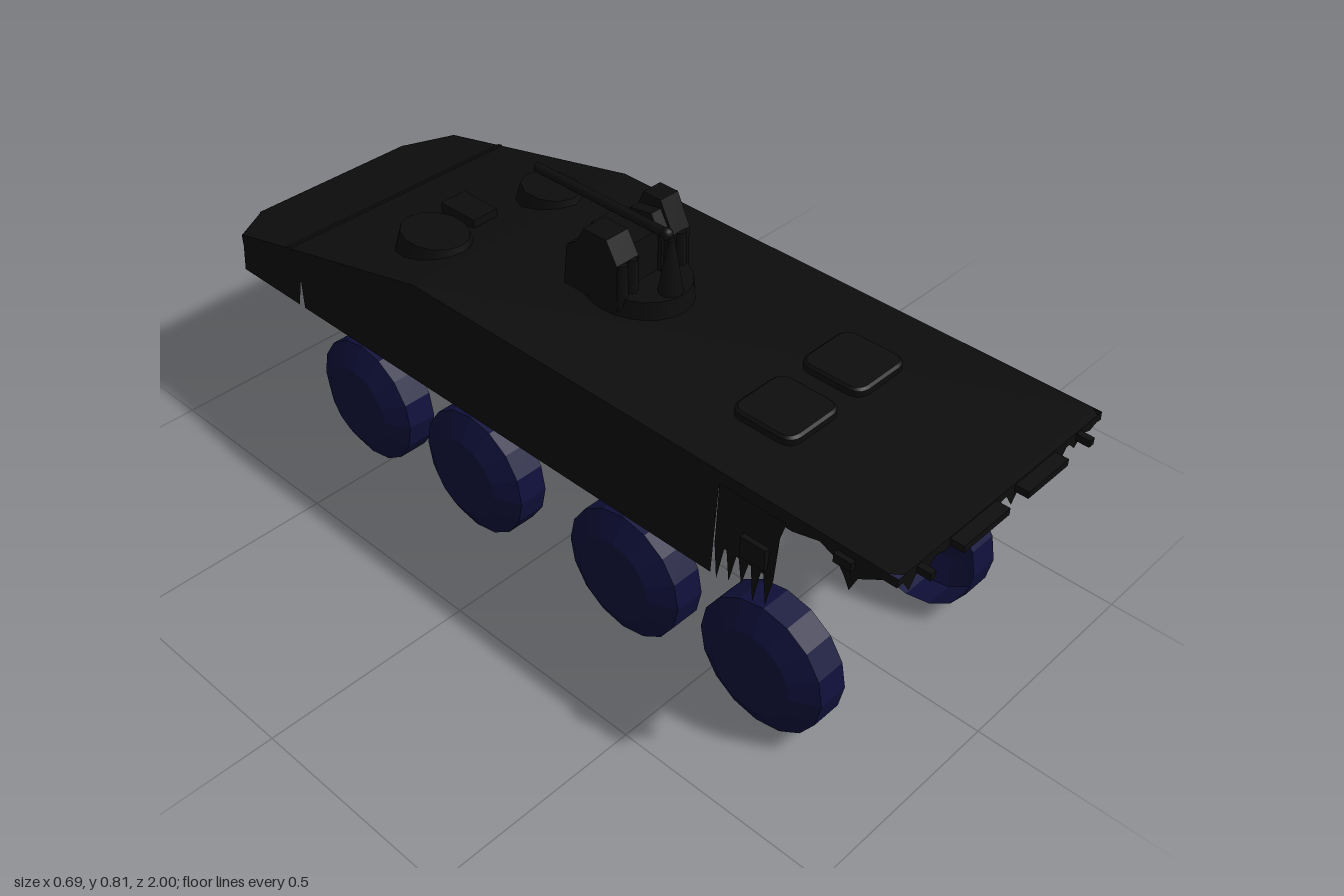
import * as THREE from 'three';

const hullBlack = new THREE.MeshStandardMaterial({ color: 0x0d0d0d, side: THREE.DoubleSide });
hullBlack.name = 'hull black';
const wheelNavy = new THREE.MeshStandardMaterial({ color: 0x10103c, side: THREE.DoubleSide, flatShading: true });
wheelNavy.name = 'wheel navy';

const ROOF = 0.62;
const deckY = z => (z < -0.3 ? ROOF + (z + 0.3) * 0.236 : ROOF);
const wallX = y => 0.32 + 0.07 * (ROOF - y);

export function createModel() {
  const model = new THREE.Group();

  const add = (name, geometry, x = 0, y = 0, z = 0, material = hullBlack) => {
    const mesh = new THREE.Mesh(geometry, material);
    mesh.name = name;
    mesh.position.set(x, y, z);
    model.add(mesh);
    return mesh;
  };

  // Thin sheet: a flat outline whose points are moved into place by a rule
  const sheet = (name, outline, place) => {
    const geo = new THREE.ShapeGeometry(new THREE.Shape(outline.map(p => new THREE.Vector2(...p))));
    const pos = geo.attributes.position;
    for (let i = 0; i < pos.count; i++) pos.setXYZ(i, ...place(pos.getX(i), pos.getY(i)));
    geo.computeVertexNormals();
    return add(name, geo);
  };

  // Row of ragged spikes between two positions, running from a to b
  const teeth = (a, b, count, top, tip) => {
    const pts = [];
    for (let i = 0; i < count; i++) {
      const t = k => a + (b - a) * (i + k) / count;
      pts.push([t(0.1), top], [t(0.5), tip + 0.012 * (i % 3)], [t(0.9), top]);
    }
    return pts;
  };

  // Roof and sloped front deck
  sheet('roof', [[-0.32, -0.3], [0.32, -0.3], [0.32, 0.95], [0.305, 0.97], [-0.305, 0.97], [-0.32, 0.95]],
    (x, z) => [x, ROOF, z]);
  sheet('frontDeck', [[-0.32, -0.3], [-0.33, -0.92], [-0.22, -1], [0.22, -1], [0.33, -0.92], [0.32, -0.3]],
    (x, z) => [x, deckY(z), z]);
  const ridge = add('deckRidge', new THREE.BoxGeometry(0.655, 0.006, 0.012), 0, deckY(-0.74), -0.74);
  ridge.rotation.x = -Math.atan(0.236);

  // Nose plate and ragged corner plates
  sheet('nosePlate', [[-0.225, 0.38], [0.225, 0.38], [0.225, 0.455], [-0.225, 0.455]], (x, y) => [x, y, -1]);
  for (const s of [1, -1]) {
    sheet('noseCorner', [[0.22, 0.455], [0.22, 0.445], ...teeth(0.22, 0.333, 10, 0.445, 0.38), [0.333, 0.455], [0.333, 0.474]],
      (x, y) => [s * x, y, -1 + (x - 0.22) * 0.08 / 0.113]);
  }

  // Side walls with a front notch, rear skirt panels and the overhanging rear rim
  for (const s of [1, -1]) {
    const onWall = off => (z, y) => [s * (wallX(y) + off), y, z];
    sheet('sideWall', [[0.565, 0.62], [0.565, 0.38], [-0.69, 0.38], [-0.7, 0.45], [-0.71, 0.38],
      [-0.92, 0.38], [-0.92, 0.474], [-0.3, ROOF]], onWall(0));
    const hem = s > 0
      ? [[0.57, 0.38], [0.65, 0.38], [0.665, 0.43], [0.68, 0.38], [0.715, 0.38]]
      : teeth(0.57, 0.72, 5, 0.46, 0.38);
    sheet('rearSkirt', [[0.57, 0.6], ...hem, [0.72, 0.56], [0.73, 0.6]], onWall(0.006));
    sheet('rearRim', [[0.56, ROOF], [0.56, 0.59], [0.74, 0.585], [0.8, 0.6], [0.84, 0.585], [0.86, 0.56],
      [0.875, 0.535], [0.89, 0.57], [0.94, 0.6], [0.97, 0.6], [0.97, ROOF]], onWall(0));
    // Brackets on the skirt and rim
    add('skirtBracket', new THREE.BoxGeometry(0.012, 0.05, 0.06), s * 0.339, 0.5, 0.67);
    add('rimBracket', new THREE.BoxGeometry(0.012, 0.02, 0.04), s * 0.327, 0.595, 0.86);
  }

  // Ragged rear edge with hanging fragments
  sheet('rearEdge', [[-0.32, ROOF], [-0.32, 0.6], ...teeth(-0.31, 0.31, 12, 0.602, 0.57), [0.32, 0.6], [0.32, ROOF]],
    (x, y) => [x, y, 0.97]);
  for (const [x, w] of [[-0.26, 0.015], [-0.1, 0.14], [0.095, 0.13], [0.24, 0.015]]) {
    add('rearLug', new THREE.BoxGeometry(w, 0.016, 0.04), x, 0.608, 0.98);
  }
  for (const x of [-0.27, -0.12, 0.06, 0.22]) {
    add('rearFragment', new THREE.BoxGeometry(0.05, 0.05, 0.05), x, 0.59, 0.88);
  }

  // Rear roof hatches: rounded square lids
  const r = 0.035, h = 0.078;
  const lid = new THREE.Shape();
  lid.moveTo(-h + r, -h);
  lid.lineTo(h - r, -h).quadraticCurveTo(h, -h, h, -h + r);
  lid.lineTo(h, h - r).quadraticCurveTo(h, h, h - r, h);
  lid.lineTo(-h + r, h).quadraticCurveTo(-h, h, -h, h - r);
  lid.lineTo(-h, -h + r).quadraticCurveTo(-h, -h, -h + r, -h);
  const lidGeo = new THREE.ExtrudeGeometry(lid, {
    depth: 0.014, bevelEnabled: true, bevelThickness: 0.005, bevelSize: 0.006, bevelOffset: -0.006, bevelSegments: 1,
  }).rotateX(-Math.PI / 2);
  for (const x of [-0.105, 0.1]) add('rearHatch', lidGeo, x, ROOF, 0.54);

  // Front crew hatches and centre sight
  add('commanderHatch', new THREE.CylinderGeometry(0.07, 0.085, 0.06, 14), -0.155, 0.597, -0.42).scale.z = 1.25;
  add('driverHatch', new THREE.CylinderGeometry(0.062, 0.075, 0.06, 10), 0.145, 0.606, -0.365).scale.z = 1.25;
  add('frontSight', new THREE.BoxGeometry(0.07, 0.04, 0.11), -0.02, 0.595, -0.46);

  // Turret ring
  add('turretRing', new THREE.CylinderGeometry(0.105, 0.11, 0.045, 24, 1, true), 0.005, 0.638, 0.045).scale.z = 1.2;
  add('turretDeck', new THREE.CylinderGeometry(0.105, 0.105, 0.006, 24), 0.005, 0.658, 0.045).scale.z = 1.2;

  // Turret side housings, cut from stepped profiles
  const housing = (name, profile, x, width) => {
    const shape = new THREE.Shape(profile.map(([z, y]) => new THREE.Vector2(-z, y)));
    const geo = new THREE.ExtrudeGeometry(shape, { depth: width, bevelEnabled: false }).rotateY(Math.PI / 2);
    add(name, geo, x, 0, 0);
  };
  housing('rightHousing', [[0.085, 0.63], [-0.07, 0.63], [-0.06, 0.73], [-0.03, 0.75], [-0.01, 0.79], [0.055, 0.79], [0.085, 0.74]], -0.1, 0.063);
  housing('leftHousing', [[0.085, 0.63], [-0.07, 0.63], [-0.06, 0.73], [-0.02, 0.76], [0.0, 0.81], [0.05, 0.81], [0.085, 0.74]], 0.065, 0.052);
  housing('leftInnerHousing', [[0.08, 0.63], [-0.06, 0.63], [-0.055, 0.72], [-0.01, 0.78], [0.05, 0.79], [0.08, 0.74]], 0.037, 0.028);
  add('gunCradle', new THREE.BoxGeometry(0.075, 0.12, 0.12), 0, 0.7, 0.01);
  for (const x of [-0.085, -0.055, 0.055, 0.09]) {
    add('turretRib', new THREE.CylinderGeometry(0.012, 0.014, 0.1, 8), x, 0.69, 0.085);
  }

  // Machine gun, its post and rear knob
  add('gunPost', new THREE.CylinderGeometry(0.007, 0.03, 0.14, 10), 0, 0.715, 0.142);
  add('gunBarrel', new THREE.CylinderGeometry(0.011, 0.011, 0.38, 12).rotateX(Math.PI / 2), 0, 0.793, -0.06);
  add('gunKnob', new THREE.SphereGeometry(0.014, 12, 8), 0, 0.793, 0.128);

  // Wheels: cups open on the inside with a chamfered outer rim
  const cup = [[0.156, 0], [0.156, 0.072], [0.1, 0.103], [0, 0.103]].map(p => new THREE.Vector2(...p));
  const wheelGeo = new THREE.LatheGeometry(cup, 16);
  for (const s of [1, -1]) {
    for (const z of [0.66, 0.285, -0.18, -0.555]) {
      const wheel = add('wheel', wheelGeo, s * 0.215, 0.156, z, wheelNavy);
      wheel.rotation.z = -s * Math.PI / 2;
    }
  }
  return model;
}
